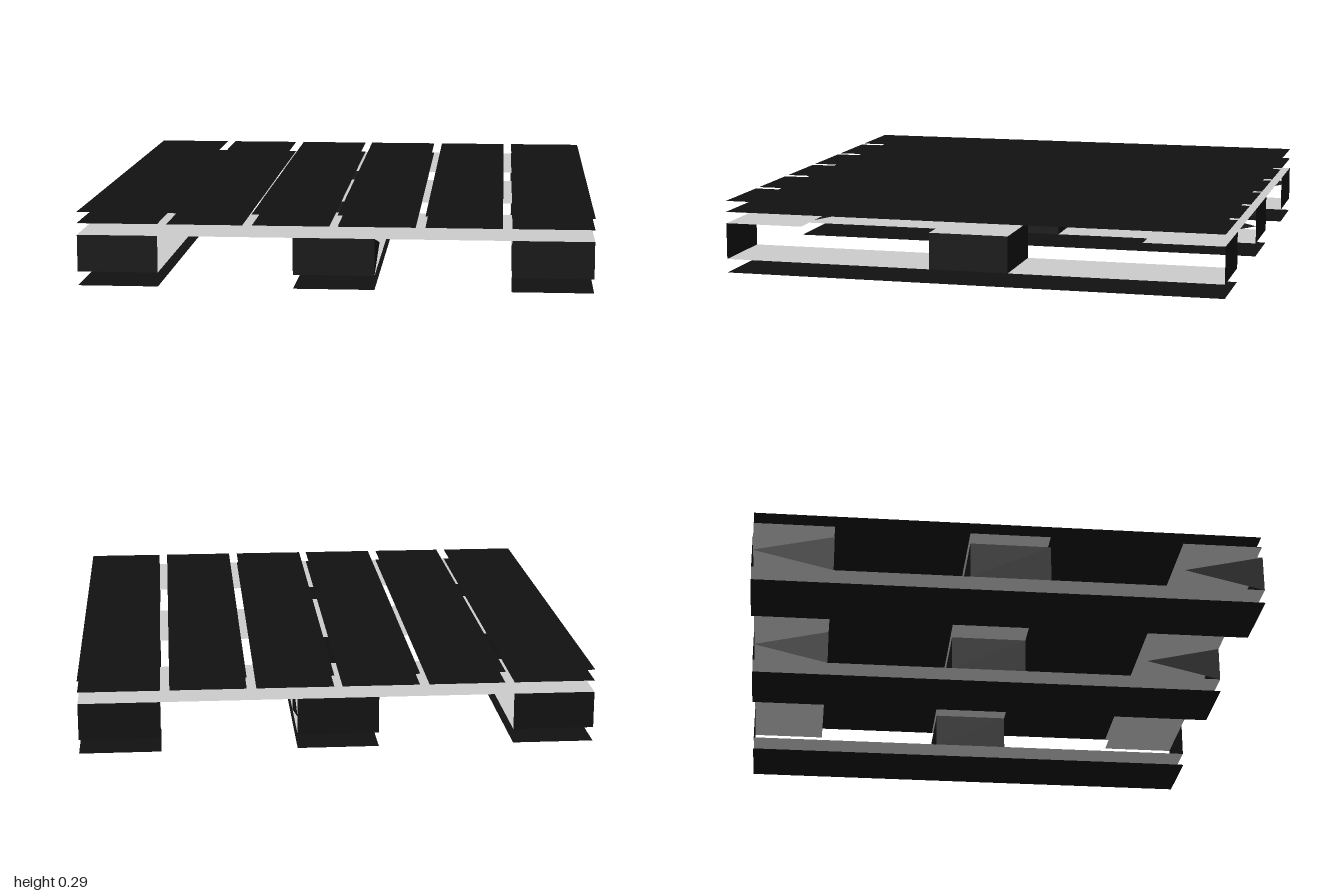
import * as THREE from 'three';

export function createModel() {
  const model = new THREE.Group();
  const dark = new THREE.MeshStandardMaterial({ color: 0x111111, side: THREE.DoubleSide });
  const grey = new THREE.MeshStandardMaterial({ color: 0xcccccc, side: THREE.DoubleSide });

  const add = (parent, name, geometry, material) => {
    const mesh = new THREE.Mesh(geometry, material);
    mesh.name = name;
    parent.add(mesh);
    return mesh;
  };
  const group = (name) => {
    const g = new THREE.Group();
    g.name = name;
    model.add(g);
    return g;
  };

  // Horizontal sheet, facing up or down
  const sheet = (parent, name, x0, x1, z0, z1, y, material, up = true) => {
    const geometry = new THREE.PlaneGeometry(x1 - x0, z1 - z0).rotateX(up ? -Math.PI / 2 : Math.PI / 2);
    add(parent, name, geometry, material).position.set((x0 + x1) / 2, y, (z0 + z1) / 2);
  };
  // Upright sheet: angle 0 faces +z, a quarter turn faces +x
  const wall = (parent, name, width, x, z, angle) => {
    const geometry = new THREE.PlaneGeometry(width, blockTop - blockBase).rotateY(angle);
    add(parent, name, geometry, dark).position.set(x, (blockTop + blockBase) / 2, z);
  };

  const blockBase = 0.055, blockTop = 0.2, crossTop = 0.245, deckTop = 0.29;
  const spans = [[-1, -0.685], [-0.158, 0.158], [0.685, 1]];

  // Deck boards along z, each an upper and a lower sheet with open edges
  const deck = group('deckBoards');
  for (const [a, b] of [[0.016, 0.316], [0.353, 0.649], [0.685, 1]]) {
    for (const [x0, x1] of [[a, b], [-b, -a]]) {
      sheet(deck, 'deckBoardTop', x0, x1, -1, 1, deckTop, dark);
      sheet(deck, 'deckBoardUnderside', x0, x1, -1, 1, crossTop + 0.001, dark, false);
    }
  }

  // Cross boards along x and runners along z
  const cross = group('crossBoards');
  const runners = group('runners');
  for (const [a, b] of spans) {
    sheet(cross, 'crossBoardTop', -1, 1, a, b, crossTop, grey);
    sheet(cross, 'crossBoardUnderside', -1, 1, a, b, blockTop, grey, false);
    sheet(runners, 'runnerTop', a, b, -1, 1, blockBase, grey);
    sheet(runners, 'runnerUnderside', a, b, -1, 1, 0, dark, false);
  }

  // Spacer blocks: middle row closed on four sides, end rows mostly open
  const blocks = group('spacerBlocks');
  for (const [x0, x1] of spans) {
    const x = (x0 + x1) / 2, w = x1 - x0;
    for (const s of [-1, 1]) {
      wall(blocks, 'middleBlockFace', w, x, s * 0.158, s > 0 ? 0 : Math.PI);
      wall(blocks, 'middleBlockSide', 0.316, s > 0 ? x1 : x0, 0, s * Math.PI / 2);
      wall(blocks, 'endBlockFace', w, x, s, s > 0 ? 0 : Math.PI);
    }
  }

  // Triangular side pieces of the end blocks, tapering towards -z
  for (const x of [-1, -0.158, 0.158]) {
    for (const [z0, z1] of [spans[0], spans[2]]) {
      const shape = new THREE.Shape([
        new THREE.Vector2(-z1, blockBase),
        new THREE.Vector2(-z0, (blockBase + blockTop) / 2),
        new THREE.Vector2(-z1, blockTop),
      ]);
      add(blocks, 'endBlockSide', new THREE.ShapeGeometry(shape).rotateY(Math.PI / 2), dark).position.x = x;
    }
  }

  return model;
}
